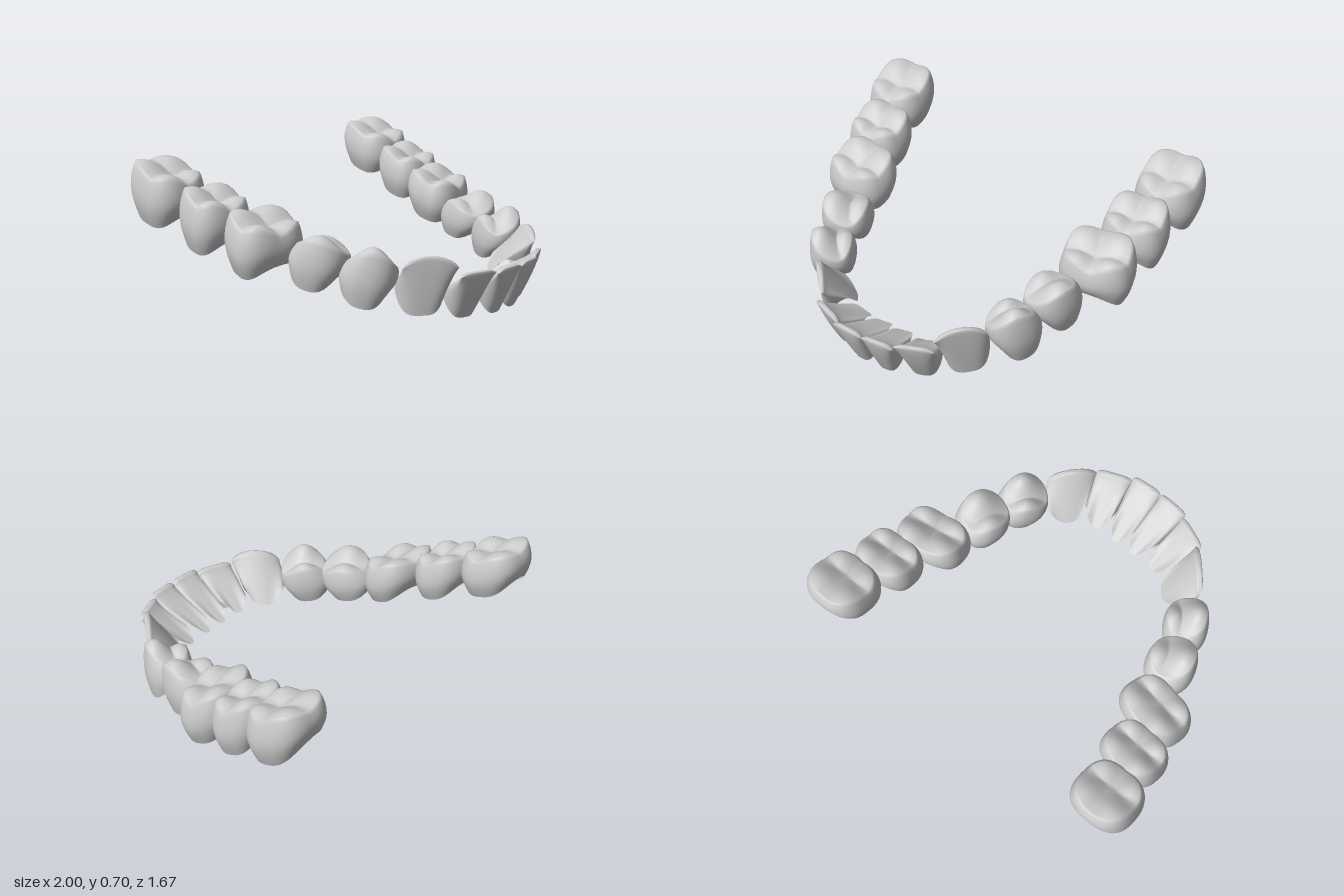
import * as THREE from 'three';

const SIDES = 48;
const { lerp } = THREE.MathUtils;
const spow = (v, e) => Math.sign(v) * Math.abs(v) ** e;

// Lofts closed rings (point(ring, angle) -> [x, y, z]) from the gum margin upwards.
function loft(rings, point) {
  const pos = [], index = [];
  for (let i = 0; i <= rings; i++) {
    for (let j = 0; j < SIDES; j++) pos.push(...point(i, (j / SIDES) * Math.PI * 2));
  }
  for (let i = 0; i < rings; i++) {
    for (let j = 0; j < SIDES; j++) {
      const k = (j + 1) % SIDES;
      const a = i * SIDES + j, b = i * SIDES + k;
      const c = a + SIDES, d = b + SIDES;
      index.push(a, c, b, b, c, d);
    }
  }
  const g = new THREE.BufferGeometry();
  g.setAttribute('position', new THREE.Float32BufferAttribute(pos, 3));
  g.setIndex(index);
  g.computeVertexNormals();
  return g;
}

// Blade-shaped crown: local origin on the cutting edge, +z towards the lip, +x towards the back.
function frontCrown({ half, top, lab, ling, labY, lingY, drop, shift, scallop, narrow, hollow }) {
  const WALL = 18, CAP = 3, thick = 0.03;
  return loft(WALL + CAP, (i, a) => {
    const t = Math.min(i / WALL, 1);
    const q = i > WALL ? 1 - (i - WALL) / CAP : 1;
    const u = spow(Math.cos(a), 0.7), w = spow(Math.sin(a), 0.85);
    const front = lab * (1 - t) ** 1.3;
    const back = lerp(-thick, ling, (1 - t) ** hollow);
    const z = (front + back) / 2 + ((front - back) / 2) * w * q;
    // the tongue side narrows towards the margin
    const taper = lerp(1, narrow, ((1 - w) / 2) ** 2 * Math.sqrt(1 - t));
    const width = half * lerp(0.93, 1, Math.sin(Math.min(t * 1.5, 1) * Math.PI / 2));
    const margin = lerp(lingY, labY, (w + 1) / 2) + scallop * u ** 4;
    const uq = u * q;
    const edge = top - drop * uq * uq - 0.015 * uq ** 6 - 0.005 * q;
    return [width * u * taper * q + shift * (1 - t), lerp(margin, edge, t), z];
  });
}

// Chewing crown: bulging wall, then a cap whose height comes from rounded cusps.
function backCrown({ md, bl, low, top, slope, shift, power, depth, cusps, scallop }) {
  const WALL = 14, CAP = 16, RIM = 0.87;
  const cap = (u, w) => {
    let h = 0;
    for (const [cu, cw, amp, r] of cusps) {
      h = Math.max(h, amp * Math.exp(-((u - cu) ** 2 + (w - cw) ** 2) / r));
    }
    return top - depth + depth * h;
  };
  return loft(WALL + CAP, (i, a) => {
    const t = Math.min(i / WALL, 1);
    const e = 2 / power;
    const u = spow(Math.cos(a), e), w = spow(Math.sin(a), e);
    let s;
    if (i > WALL) s = RIM * (1 - (i - WALL) / CAP);
    else if (t < 0.5) s = lerp(0.82, 1, Math.sin(t * Math.PI));
    else s = lerp(1, RIM, ((t - 0.5) * 2) ** 2);
    const x = md * u * s;
    const margin = low + scallop * Math.abs(u) ** 3 + 0.015 * (1 - w);
    const y = i > WALL ? cap(u * s, w * s) : lerp(margin, cap(u * RIM, w * RIM), t);
    return [x + shift * (0.5 - t), y + slope * x, bl * w * s];
  });
}

const INCISOR = { drop: 0, scallop: 0.08, narrow: 0.4, hollow: 1.2, top: 0.245, lingY: 0.08 };
const MOLAR = {
  power: 2.6, depth: 0.068, shift: 0.01, scallop: 0.07, slope: 0.34,
  cusps: [[-0.6, 0.5, 0.95, 0.3], [0.38, 0.5, 1, 0.42], [-0.6, -0.52, 0.9, 0.3], [0.38, -0.52, 0.9, 0.42]],
};
const PREMOLAR = {
  power: 2.25, depth: 0.12, scallop: 0.06, slope: 0.22, shift: 0.05,
  cusps: [[-0.12, 0.5, 1, 0.65], [0.1, -0.55, 0.6, 0.4]],
};

// Teeth of one side, from the middle to the back: position of the crown centre and outward angle.
const TEETH = [
  { name: 'centralIncisor', make: frontCrown, x: 0.089, z: 0.835, yaw: 4, ...INCISOR,
    half: 0.089, lab: -0.1, ling: -0.32, labY: 0, shift: -0.008 },
  { name: 'lateralIncisor', make: frontCrown, x: 0.263, z: 0.772, yaw: 22, ...INCISOR,
    half: 0.1, lab: -0.095, ling: -0.27, labY: 0.005, shift: 0.025 },
  { name: 'canine', make: frontCrown, x: 0.432, z: 0.612, yaw: 48, half: 0.133, top: 0.325, lab: -0.03,
    ling: -0.2, labY: 0.035, lingY: 0.09, drop: 0.04, shift: 0.045, scallop: 0.1, narrow: 0.65, hollow: 1 },
  { name: 'firstPremolar', make: backCrown, x: 0.547, z: 0.335, yaw: 62, ...PREMOLAR,
    md: 0.132, bl: 0.118, low: 0.08, top: 0.37 },
  { name: 'secondPremolar', make: backCrown, x: 0.625, z: 0.105, yaw: 76, ...PREMOLAR,
    md: 0.14, bl: 0.13, low: 0.145, top: 0.41, depth: 0.1 },
  { name: 'firstMolar', make: backCrown, x: 0.722, z: -0.155, yaw: 100, ...MOLAR,
    md: 0.145, bl: 0.188, low: 0.2, top: 0.477 },
  { name: 'secondMolar', make: backCrown, x: 0.787, z: -0.41, yaw: 94, ...MOLAR,
    md: 0.14, bl: 0.166, low: 0.29, top: 0.57 },
  { name: 'thirdMolar', make: backCrown, x: 0.832, z: -0.675, yaw: 90, ...MOLAR,
    md: 0.16, bl: 0.167, low: 0.4, top: 0.675, depth: 0.06 },
];

export function createModel() {
  const model = new THREE.Group();
  model.name = 'lowerTeeth';
  // crowns are open shells
  const material = new THREE.MeshStandardMaterial({ color: 0xcccccc, side: THREE.DoubleSide });
  const sides = [1, -1].map((sign) => {
    const side = new THREE.Group();
    side.name = sign > 0 ? 'leftTeeth' : 'rightTeeth';
    side.scale.x = sign;
    model.add(side);
    return side;
  });
  for (const tooth of TEETH) {
    const geometry = tooth.make(tooth);
    for (const side of sides) {
      const mesh = new THREE.Mesh(geometry, material);
      mesh.name = tooth.name;
      mesh.position.set(tooth.x, 0, tooth.z);
      mesh.rotation.y = THREE.MathUtils.degToRad(tooth.yaw);
      side.add(mesh);
    }
  }
  return model;
}
